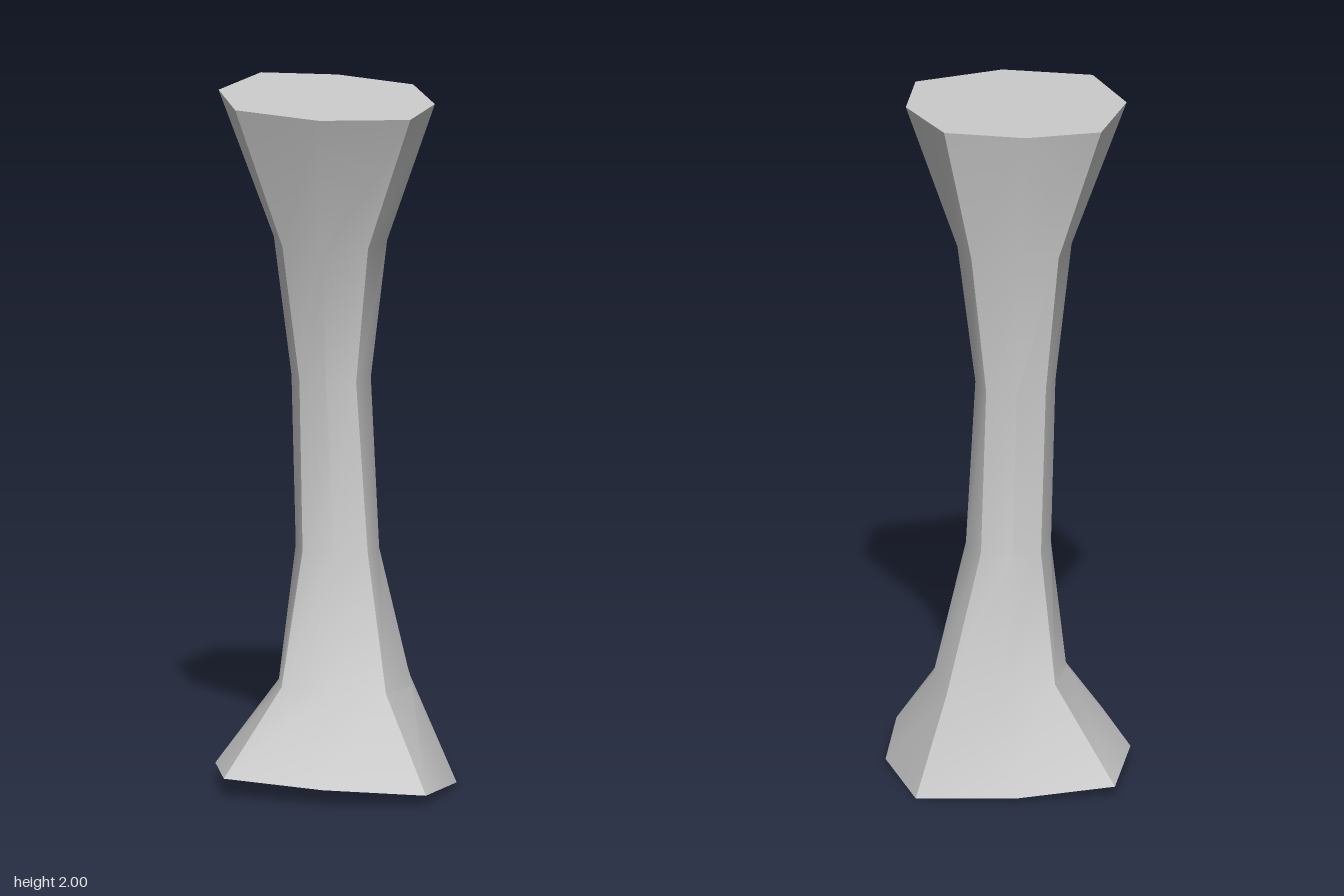
import * as THREE from 'three';
import { toCreasedNormals } from 'three/addons/utils/BufferGeometryUtils.js';

// Each cross-section: height, tilt along x and z, reach to each side,
// position of the front/back ridges (cx) and side ridges (cz),
// and how far the four corners bulge (front left, back left, back right, front right).
const SECTIONS = [
  { y: 0.03, tx: -0.07, tz: 0, left: 0.395, right: -0.395, front: 0.415, back: -0.42, cx: 0, cz: -0.015, bulge: [0.6, 0.575, 0.61, 0.6] },
  { y: 0.29, tx: -0.045, tz: 0, left: 0.265, right: -0.19, front: 0.205, back: -0.205, cx: 0.015, cz: -0.015, bulge: [0.62, 0.62, 0.62, 0.62] },
  { y: 0.68, tx: 0, tz: 0, left: 0.135, right: -0.105, front: 0.105, back: -0.16, cx: 0.025, cz: -0.03, bulge: [0.67, 0.68, 0.68, 0.67] },
  { y: 1.17, tx: 0, tz: 0, left: 0.13, right: -0.105, front: 0.07, back: -0.165, cx: 0.01, cz: -0.045, bulge: [0.67, 0.7, 0.7, 0.7] },
  { y: 1.572, tx: 0.02, tz: -0.03, left: 0.17, right: -0.18, front: 0.14, back: -0.205, cx: 0, cz: -0.025, bulge: [0.65, 0.64, 0.67, 0.66] },
  { y: 1.987, tx: 0, tz: -0.035, left: 0.275, right: -0.355, front: 0.345, back: -0.365, cx: -0.003, cz: -0.015, bulge: [0.65, 0.61, 0.67, 0.65] },
];

// Eight points, running from the front ridge round by the left side
function ring(s) {
  const corner = (x, z, k) => [s.cx + (x - s.cx) * k, s.cz + (z - s.cz) * k];
  const [fl, bl, br, fr] = s.bulge;
  return [
    [s.cx, s.front], corner(s.left, s.front, fl),
    [s.left, s.cz], corner(s.left, s.back, bl),
    [s.cx, s.back], corner(s.right, s.back, br),
    [s.right, s.cz], corner(s.right, s.front, fr),
  ].map(([x, z]) => [x, s.y + s.tx * x + s.tz * z, z]);
}

function columnGeometry() {
  const points = SECTIONS.flatMap(ring);
  const index = [];
  const last = SECTIONS.length - 1;
  for (let i = 0; i < last; i++) {
    for (let j = 0; j < 8; j++) {
      const a = i * 8 + j;
      const b = i * 8 + (j + 1) % 8;
      index.push(a, b, b + 8, a, b + 8, a + 8);
    }
  }
  // Bottom and top caps
  for (let j = 1; j < 7; j++) {
    index.push(0, j + 1, j);
    index.push(last * 8, last * 8 + j, last * 8 + j + 1);
  }
  const geometry = new THREE.BufferGeometry();
  geometry.setAttribute('position', new THREE.Float32BufferAttribute(points.flat(), 3));
  geometry.setIndex(index);
  // Keep the ridges and rims sharp, blend the gentle bends
  return toCreasedNormals(geometry, THREE.MathUtils.degToRad(40));
}

export function createModel() {
  const group = new THREE.Group();
  group.name = 'flaredColumn';
  const stone = new THREE.MeshStandardMaterial({ color: 0xcccccc });
  stone.name = 'pale grey stone';
  const column = new THREE.Mesh(columnGeometry(), stone);
  column.name = 'column';
  group.add(column);
  return group;
}
